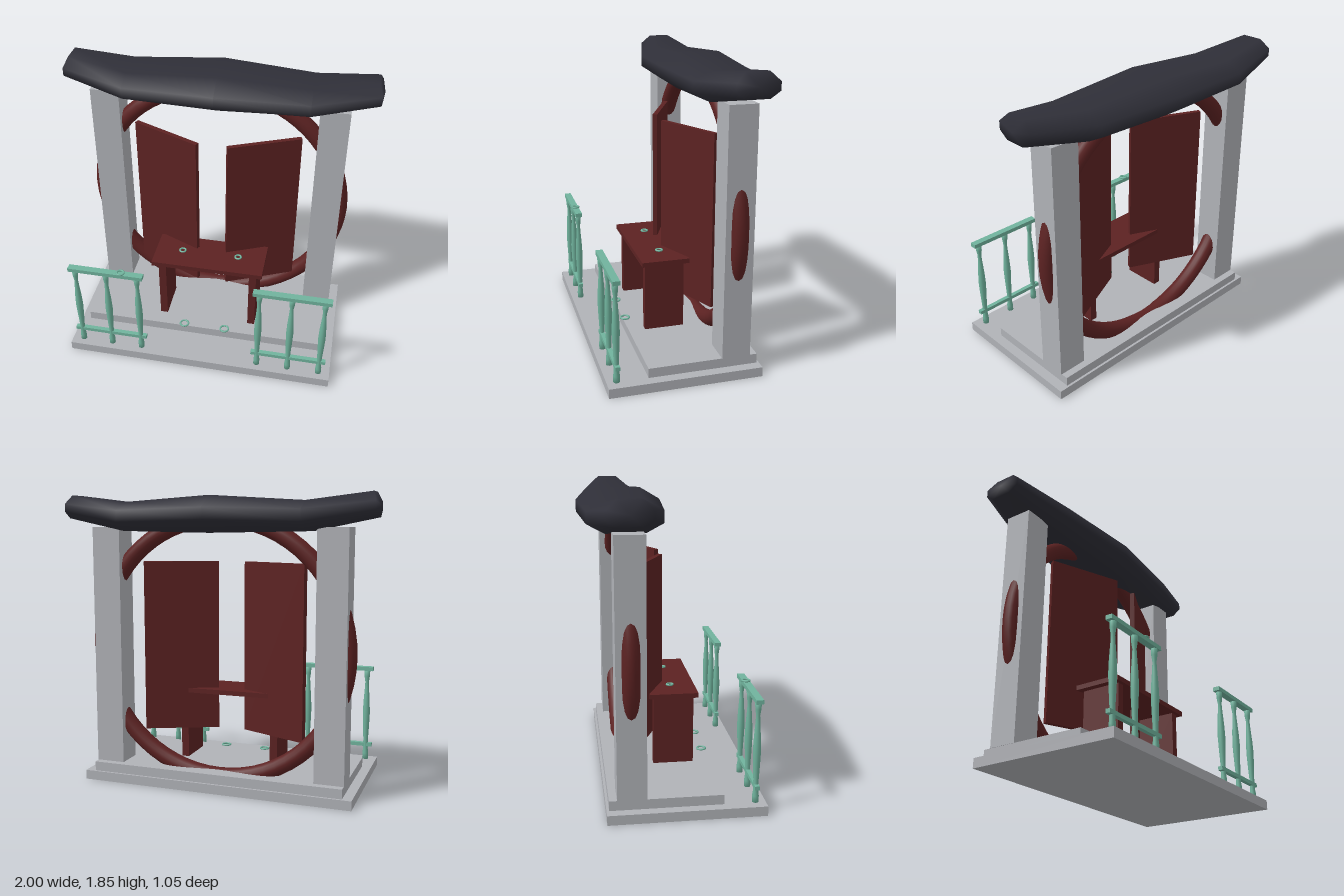
import * as THREE from 'three';

const mat = (name, color) => new THREE.MeshStandardMaterial({ name, color });

export function createModel() {
  const stone = mat('grey stone', 0xb0b2b7);
  const wood = mat('dark red wood', 0x5c2222);
  const jade = mat('jade green', 0x70b39d);
  const slate = mat('dark slate', 0x2f2f38);

  const model = new THREE.Group();
  model.name = 'moonGatePavilion';

  const add = (name, geometry, material, x, y, z, parent = model) => {
    const m = new THREE.Mesh(geometry, material);
    m.name = name;
    m.position.set(x, y, z);
    parent.add(m);
    return m;
  };
  // Box from its min and max corners
  const box = (name, material, [x0, y0, z0], [x1, y1, z1], parent) =>
    add(name, new THREE.BoxGeometry(x1 - x0, y1 - y0, z1 - z0), material,
      (x0 + x1) / 2, (y0 + y1) / 2, (z0 + z1) / 2, parent);

  // Stepped base
  box('basePlinth', stone, [-0.89, 0, -0.415], [0.875, 0.06, 0.525]);
  box('baseStep', stone, [-0.83, 0.06, -0.4], [0.812, 0.12, 0.275]);

  // Pillars
  box('rightPillar', stone, [-0.832, 0.12, -0.353], [-0.645, 1.65, -0.178]);
  box('leftPillar', stone, [0.63, 0.12, -0.353], [0.817, 1.65, -0.178]);

  // Round gate frame
  add('gateRing', new THREE.TorusGeometry(0.817, 0.054, 16, 64), wood, -0.008, 0.89, -0.265);

  // Door leaves, their inner edges swung towards the front
  for (const s of [-1, 1]) {
    const door = add(s < 0 ? 'rightDoor' : 'leftDoor',
      new THREE.BoxGeometry(0.485, 1.105, 0.03), wood, -0.008 + s * 0.316, 0.878, -0.112);
    door.rotation.y = s * 0.42;
  }

  // Table
  const table = new THREE.Group();
  table.name = 'table';
  model.add(table);
  box('tableTop', wood, [-0.382, 0.565, -0.11], [0.366, 0.595, 0.195], table);
  box('rightTableLeg', wood, [-0.34, 0.12, -0.085], [-0.29, 0.565, 0.17], table);
  box('leftTableLeg', wood, [0.278, 0.12, -0.085], [0.326, 0.565, 0.17], table);

  // Small jade rings lying on table, floor and railing
  const flatRing = (name, r, x, y, z) => {
    const ring = add(name, new THREE.TorusGeometry(r, 0.006, 8, 20), jade, x, y, z);
    ring.rotation.x = Math.PI / 2;
  };
  flatRing('tableRing', 0.02, -0.2, 0.599, 0.038);
  flatRing('tableRing', 0.02, 0.182, 0.599, 0.038);
  flatRing('floorRing', 0.028, -0.15, 0.124, 0.258);
  flatRing('floorRing', 0.028, 0.132, 0.124, 0.258);
  flatRing('railRing', 0.023, -0.51, 0.71, 0.463);

  // Railings with turned posts
  const profile = [[0, 0.06], [0.02, 0.06], [0.02, 0.1], [0.016, 0.13], [0.016, 0.2], [0.021, 0.3],
    [0.024, 0.38], [0.021, 0.46], [0.014, 0.56], [0.012, 0.6], [0.018, 0.64], [0.02, 0.68], [0, 0.69]]
    .map(([r, y]) => new THREE.Vector2(r, y));
  const postGeometry = new THREE.LatheGeometry(profile, 14);
  for (const s of [-1, 1]) {
    const railing = new THREE.Group();
    railing.name = s < 0 ? 'rightRailing' : 'leftRailing';
    railing.position.set(s < 0 ? -0.611 : 0.594, 0, 0.464);
    model.add(railing);
    box('topRail', jade, [-0.247, 0.68, -0.022], [0.247, 0.706, 0.022], railing);
    box('bottomRail', jade, [-0.247, 0.15, -0.014], [0.247, 0.174, 0.014], railing);
    for (const x of [-0.206, 0, 0.206]) add('post', postGeometry, jade, x, 0, 0, railing);
  }

  // Roof lofted through octagonal sections: x, half width, top, upper side, lower side, bottom
  const sections = [
    [-0.985, 0.125, 1.85, 1.795, 1.745, 1.705],
    [-0.58, 0.22, 1.802, 1.75, 1.68, 1.625],
    [0, 0.262, 1.838, 1.765, 1.692, 1.615],
    [0.58, 0.22, 1.802, 1.75, 1.68, 1.625],
    [0.985, 0.125, 1.85, 1.795, 1.745, 1.705],
  ];
  const positions = [], index = [];
  sections.forEach(([x, w, top, hi, lo, bottom]) => {
    const topX = Math.abs(x) > 0.9 ? x * 0.978 : x; // slanted ends
    const c = Math.abs(x) > 0.9 ? -0.275 : -0.267;
    positions.push(
      x, lo, c + w, x, hi, c + w, topX, top, c + w * 0.53, topX, top, c - w * 0.53,
      x, hi, c - w, x, lo, c - w, x, bottom, c - w * 0.53, x, bottom, c + w * 0.53);
  });
  const last = sections.length - 1, pole = sections.length * 8;
  positions.push(-1, 1.77, -0.275, 1, 1.77, -0.275);
  for (let j = 0; j < 8; j++) {
    const k = (j + 1) % 8;
    for (let i = 0; i < last; i++) {
      const a = i * 8, b = a + 8;
      index.push(a + j, b + j, a + k, b + j, b + k, a + k);
    }
    index.push(pole, j, k, pole + 1, last * 8 + k, last * 8 + j);
  }
  const roof = new THREE.BufferGeometry();
  roof.setAttribute('position', new THREE.Float32BufferAttribute(positions, 3));
  roof.setIndex(index);
  roof.computeVertexNormals();
  add('roof', roof, slate, 0, 0, 0);

  return model;
}
